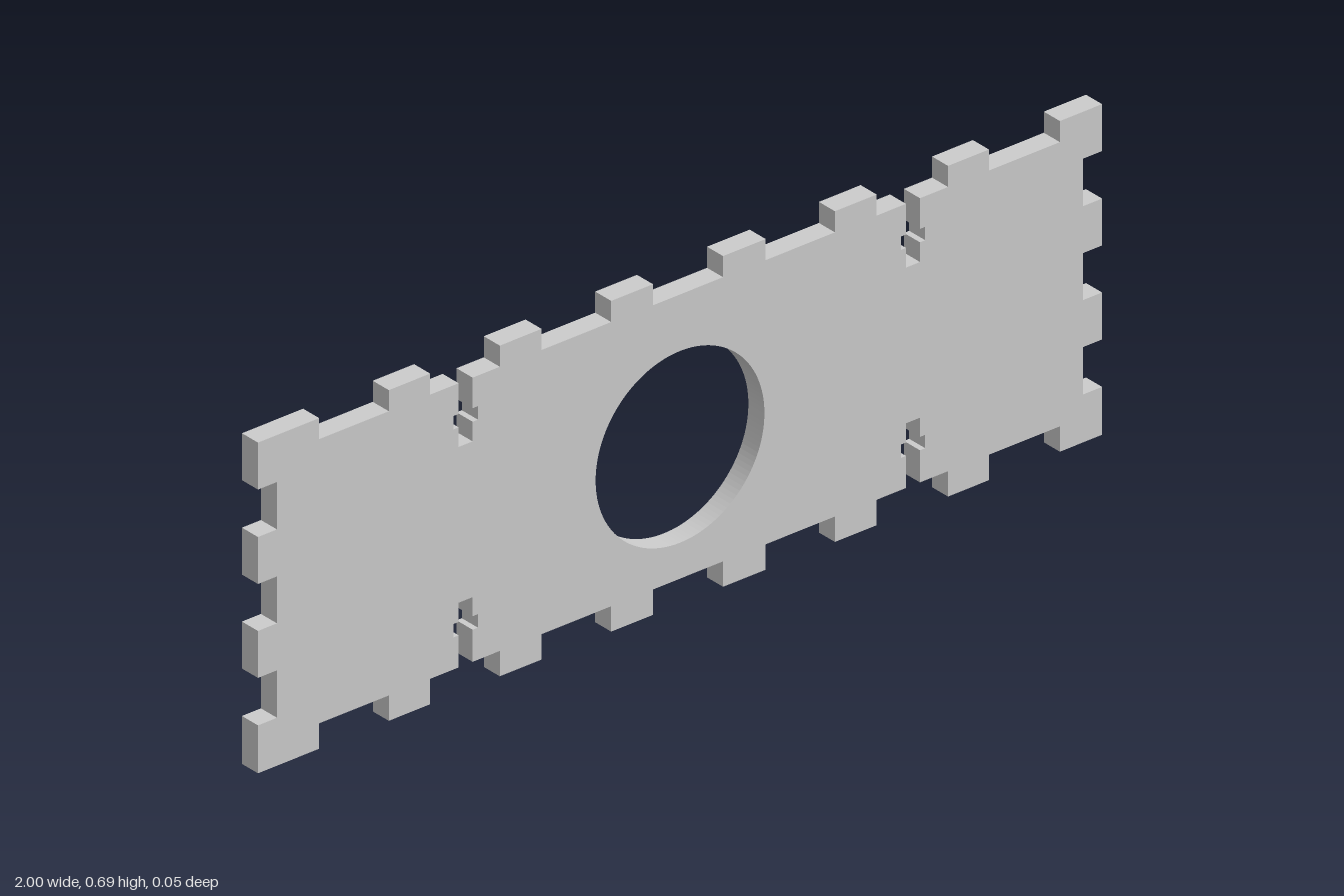
import * as THREE from 'three';

const HEIGHT = 0.69, DEPTH = 0.046;
const TOP = 0.646, BOTTOM = 0.053, SIDE = 0.955; // floors of the edge notches
const TABS = [[-1, -0.855], [-0.69, -0.592], [-0.427, -0.328], [-0.163, -0.064],
  [0.102, 0.203], [0.367, 0.466], [0.635, 0.732], [0.9, 1]];
const SIDE_NOTCHES = [[0.1, 0.199], [0.297, 0.395], [0.493, 0.592]];
const SLOTS = [-0.508, 0.552];

// Cross-shaped bolt slot running left to right; nutA and nutB bound the nut pocket
function slot(x, edge, nutA, nutB, end) {
  const s = 0.0165, n = 0.029;
  const half = [[s, edge], [s, nutA], [n, nutA], [n, nutB], [s, nutB], [s, end]];
  return [...half.map(([dx, y]) => [x - dx, y]),
    ...half.reverse().map(([dx, y]) => [x + dx, y])];
}

// Tabbed long edge with its slots, left to right
function longEdge(outer, inner, nutA, nutB, end) {
  const parts = TABS.map(([a, b]) => ({
    x: a,
    points: [[a, inner], [a, outer], [b, outer], [b, inner]],
  }));
  parts[0].points.shift(); // corners belong to the end tabs
  parts[parts.length - 1].points.pop();
  SLOTS.forEach((x) => parts.push({ x, points: slot(x, inner, nutA, nutB, end) }));
  return parts.sort((p, q) => p.x - q.x).flatMap((p) => p.points);
}

// Notched short edge, bottom to top
const shortEdge = (sign) => SIDE_NOTCHES.flatMap(([a, b]) =>
  [[1, a], [SIDE, a], [SIDE, b], [1, b]].map(([x, y]) => [sign * x, y]));

export function createModel() {
  const group = new THREE.Group();
  group.name = 'fingerJointPanel';

  // Counter-clockwise outline
  const outline = [
    ...longEdge(0, BOTTOM, 0.12, 0.148, 0.188),
    ...shortEdge(1),
    ...longEdge(HEIGHT, TOP, 0.582, 0.554, 0.513).reverse(),
    ...shortEdge(-1).reverse(),
  ];
  const shape = new THREE.Shape(outline.map(([x, y]) => new THREE.Vector2(x, y)));

  // Round opening
  const hole = new THREE.Path();
  hole.absarc(0, 0.328, 0.2, 0, Math.PI * 2, true);
  shape.holes.push(hole);

  const geometry = new THREE.ExtrudeGeometry(shape, {
    depth: DEPTH, bevelEnabled: false, curveSegments: 64,
  });
  geometry.translate(0, 0, -DEPTH / 2);

  const panel = new THREE.Mesh(geometry, new THREE.MeshStandardMaterial({ color: 0xcccccc }));
  panel.name = 'panel';
  group.add(panel);
  return group;
}
